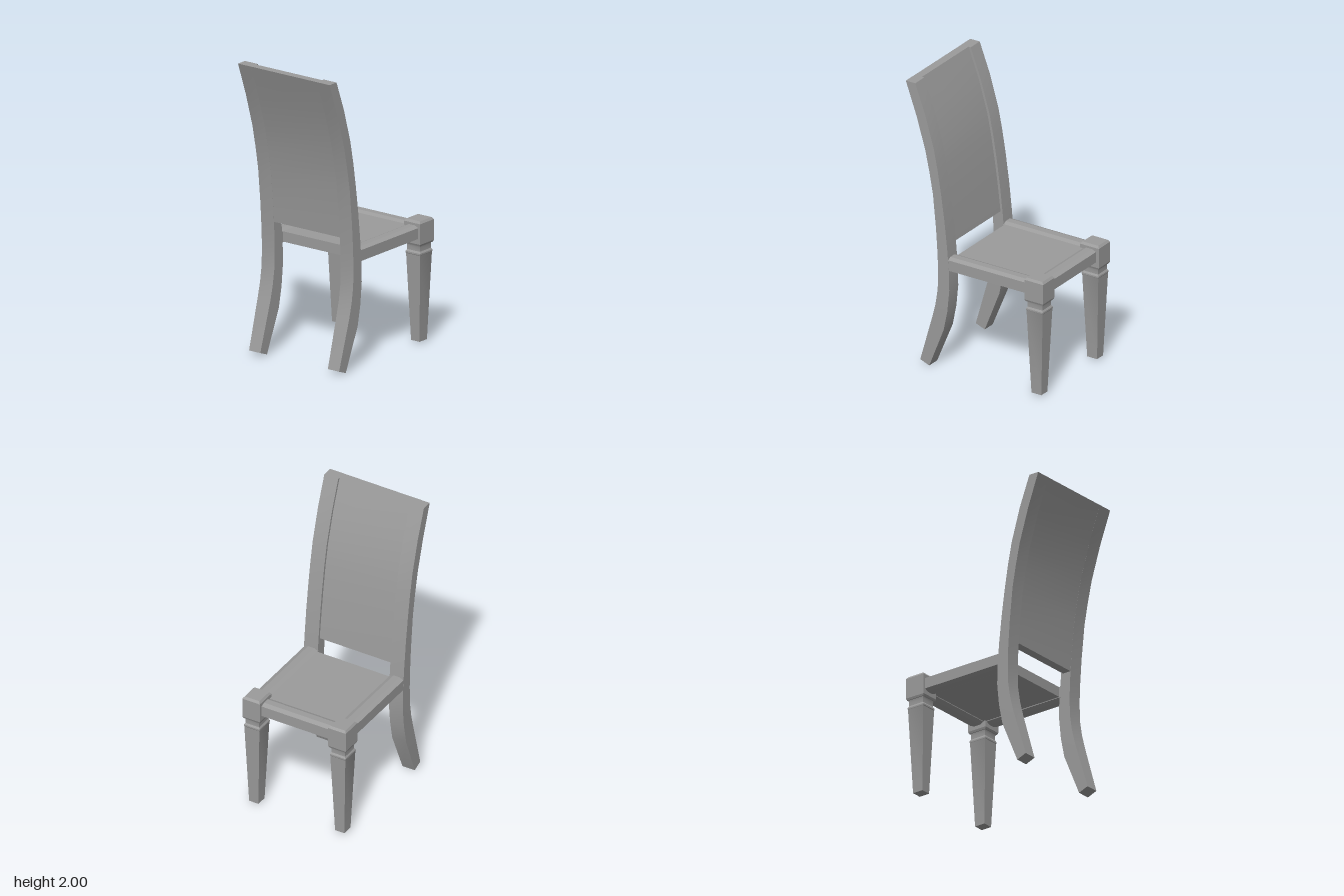
import * as THREE from 'three';
import { toCreasedNormals } from 'three/addons/utils/BufferGeometryUtils.js';

const material = new THREE.MeshStandardMaterial({ color: 0x9b9b9b });

// Smooth along gentle curves, sharp at edges
function addMesh(parent, name, geometry, x = 0, y = 0, z = 0) {
  const mesh = new THREE.Mesh(toCreasedNormals(geometry, 0.36), material);
  mesh.name = name;
  mesh.position.set(x, y, z);
  parent.add(mesh);
}

// Extrude a closed outline, centred along its depth
function extrude(points, depth) {
  const shape = new THREE.Shape(points.map(([a, b]) => new THREE.Vector2(a, b)));
  return new THREE.ExtrudeGeometry(shape, { depth, bevelEnabled: false }).translate(0, 0, -depth / 2);
}

// Side outline given as [z, y], extruded across x
const sideProfile = (points, width) => extrude(points, width).rotateY(-Math.PI / 2);

// Rail with shallow bevels along its long edges, running along z
function rail(length, w = 0.0525, h = 0.05, bw = 0.03, bh = 0.013) {
  const u = w - bw, v = h - bh;
  return extrude([[-u, -h], [u, -h], [w, -v], [w, v], [u, h], [-u, h], [-w, v], [-w, -v]], length);
}

// Square turned post from [half width, y] pairs
function squarePost(profile, depthScale) {
  const points = profile.map(([r, y]) => new THREE.Vector2(r * Math.SQRT2, y));
  return new THREE.LatheGeometry(points, 4, Math.PI / 4).scale(1, 1, depthScale);
}

export function createModel() {
  const chair = new THREE.Group();
  chair.name = 'chair';

  // Curved edges of the back, as [z, y]
  const frontEdge = [[0.36, 0], [0.243, 0.29], [0.215, 0.43], [0.2, 0.58], [0.203, 0.72], [0.217, 0.88],
    [0.238, 1.07], [0.263, 1.25], [0.289, 1.41], [0.319, 1.56], [0.386, 1.79], [0.465, 2]];
  const backEdge = [[0.538, 2], [0.455, 1.77], [0.386, 1.54], [0.354, 1.39], [0.327, 1.24], [0.303, 1.0],
    [0.291, 0.82], [0.287, 0.7], [0.29, 0.57], [0.307, 0.46], [0.332, 0.36], [0.43, 0.027]];
  const upright = sideProfile([...frontEdge, ...backEdge], 0.105);

  // Narrow the feet of the uprights slightly
  const p = upright.attributes.position;
  for (let i = 0; i < p.count; i++) if (p.getY(i) < 0.1) p.setX(i, p.getX(i) * 0.88);

  // Front leg: tapered foot, collar, neck and chamfered block
  const frontLeg = squarePost([[0, 0.013], [0.035, 0.013], [0.057, 0.605], [0.059, 0.61], [0.059, 0.62],
    [0.052, 0.632], [0.052, 0.66], [0.055, 0.672], [0.061, 0.672], [0.0662, 0.685], [0.0662, 0.825],
    [0.055, 0.84], [0, 0.84]], 1.1);

  for (const [side, s] of [['left', 1], ['right', -1]]) {
    addMesh(chair, `${side}Upright`, upright, s * 0.3235, 0, 0);
    addMesh(chair, `${side}FrontLeg`, frontLeg, s * 0.3245, 0, -0.467);
    addMesh(chair, `${side}SeatRail`, rail(0.67), s * 0.3225, 0.76, -0.115);
  }

  // Back panel, recessed between the uprights at its front
  const panelFront = frontEdge.filter(([, y]) => y > 0.9).map(([z, y]) => [z + 0.017, y]);
  const panelBack = backEdge.filter(([, y]) => y > 0.9).map(([z, y]) => [z - 0.0005, y]);
  addMesh(chair, 'backPanel',
    sideProfile([[0.233, 0.885], ...panelFront, ...panelBack, [0.294, 0.885]], 0.543));

  // Front rail and seat board
  addMesh(chair, 'frontSeatRail', rail(0.6).rotateY(Math.PI / 2), 0, 0.76, -0.465);
  addMesh(chair, 'seat', new THREE.BoxGeometry(0.56, 0.07, 0.635), 0, 0.763, -0.1165);

  return chair;
}
